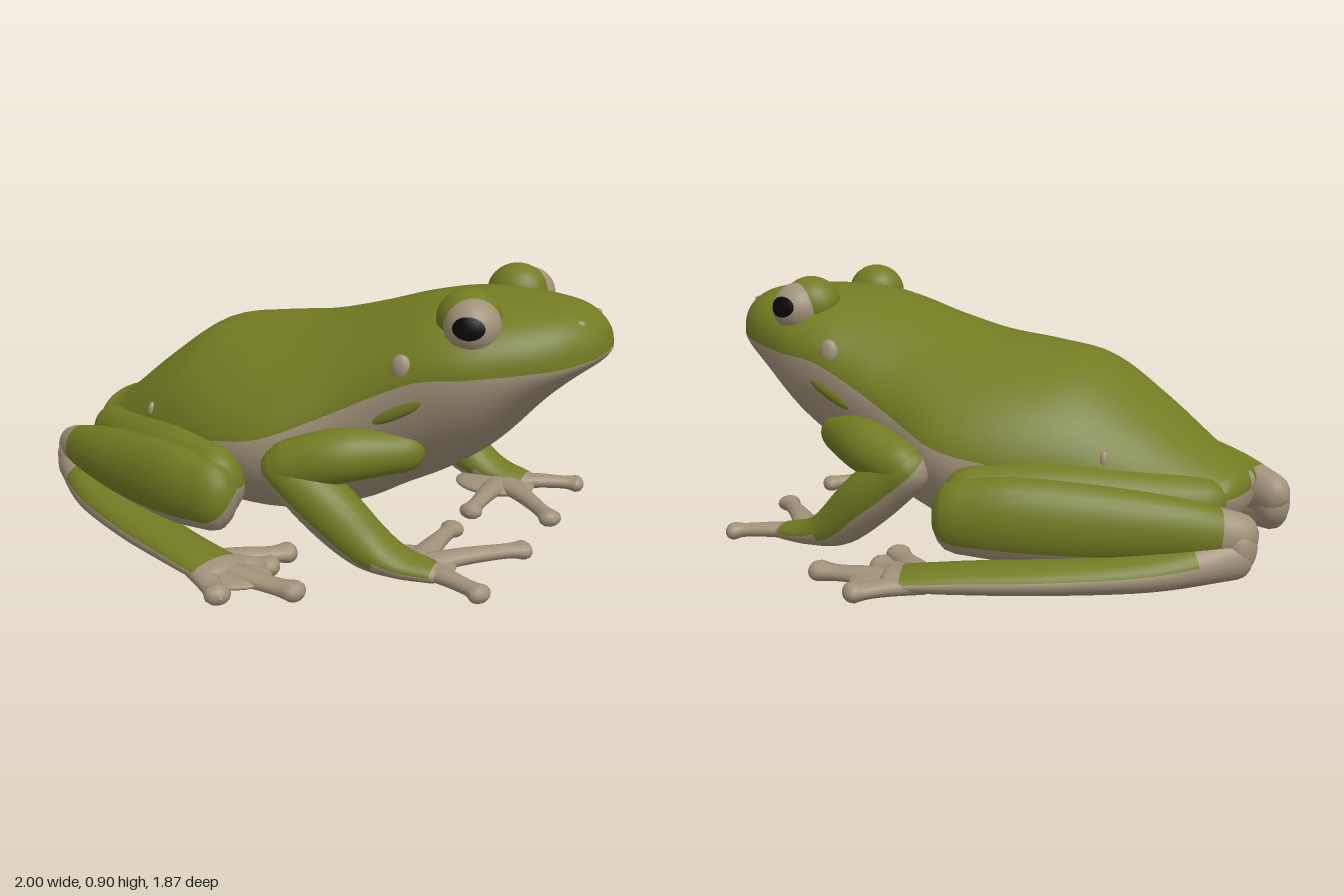
import * as THREE from 'three';

const mat = (name, color) => Object.assign(new THREE.MeshStandardMaterial({ color }), { name });

export function createModel() {
  const green = mat('skinGreen', 0x727b22);
  const cream = mat('bellyCream', 0xa09179);
  const black = mat('pupilBlack', 0x080808);
  const frog = new THREE.Group();
  frog.name = 'treeFrog';

  const add = (name, geo, material, parent = frog) => {
    const m = new THREE.Mesh(geo, material);
    m.name = name;
    parent.add(m);
    return m;
  };

  // Skin closed rings of points; isGreen(ring, sector) picks the colour of each quad
  const loft = (name, rings, isGreen, parent) => {
    const n = rings[0].length;
    const lists = [[], []];
    for (let i = 0; i < rings.length - 1; i++) {
      for (let j = 0; j < n; j++) {
        const k = (j + 1) % n;
        const a = i * n + j, b = i * n + k, c = a + n, d = b + n;
        lists[isGreen(i, j) ? 0 : 1].push(a, c, d, a, d, b);
      }
    }
    const geo = new THREE.BufferGeometry().setFromPoints(rings.flat());
    geo.setIndex([...lists[0], ...lists[1]]);
    geo.addGroup(0, lists[0].length, 0);
    geo.addGroup(lists[0].length, lists[1].length, 1);
    geo.computeVertexNormals();
    return add(name, geo, [green, cream], parent);
  };

  // Smooth sampling of rows of numbers, row index as parameter
  const smooth = (rows) => {
    const size = rows[0].length;
    const it = new THREE.CubicInterpolant(rows.map((_, i) => i), rows.flat(), size, new Array(size));
    return (t) => Array.from(it.evaluate(t));
  };

  // Limb through stations [x, y, z, sideRadius, upRadius] with rounded ends;
  // isGreen(station, up, out) gets how far the skin faces up and sideways
  const limb = (name, rows, s, isGreen, parent, sides = 28, steps = 6) => {
    const at = smooth(rows.map(([x, y, z, a, b]) => [x, y, z * s, a, b]));
    const last = rows.length - 1, stations = [];
    const caps = [0.05, 0.4, 0.7, 0.9];
    for (const c of caps) stations.push([0, c, -1]);
    for (let i = 0; i <= last * steps; i++) stations.push([i / steps, 1, 0]);
    for (const c of [...caps].reverse()) stations.push([last, c, 1]);
    const rings = stations.map(([t, scale, end]) => {
      const [x, y, z, ra, rb] = at(t);
      const p0 = at(Math.max(0, t - 0.05)), p1 = at(Math.min(last, t + 0.05));
      const dir = new THREE.Vector3(p1[0] - p0[0], p1[1] - p0[1], p1[2] - p0[2]).normalize();
      const side = new THREE.Vector3().crossVectors(dir, new THREE.Vector3(0, 1, 0)).normalize();
      const up = new THREE.Vector3().crossVectors(side, dir);
      const mid = new THREE.Vector3(x, y, z)
        .addScaledVector(dir, end * Math.min(ra, rb) * Math.sqrt(1 - scale * scale));
      return Array.from({ length: sides }, (_, j) => {
        const a = (j / sides) * Math.PI * 2;
        return mid.clone().addScaledVector(side, Math.cos(a) * ra * scale)
          .addScaledVector(up, Math.sin(a) * rb * scale);
      });
    });
    return loft(name, rings, (i, j) => {
      const a = ((j + 0.5) / sides) * Math.PI * 2;
      return isGreen(stations[i][0], Math.sin(a), Math.cos(a) * s);
    }, parent);
  };

  const ball = (name, m, [x, y, z], [a, b, c], parent) => {
    const mesh = add(name, new THREE.SphereGeometry(1, 28, 18), m, parent);
    mesh.position.set(x, y, z);
    mesh.scale.set(a, b, c);
    return mesh;
  };

  // Body and head: [x, top, widest height, bottom, half width, back fullness, colour edge angle]
  const body = smooth([
    [-0.925, 0.27, 0.26, 0.25, 0.004, 2, 0], [-0.915, 0.3, 0.255, 0.2, 0.09, 2, 0],
    [-0.88, 0.335, 0.25, 0.15, 0.17, 2, 0], [-0.8, 0.37, 0.24, 0.11, 0.22, 2, 0],
    [-0.6, 0.53, 0.27, 0.06, 0.34, 1.9, 0], [-0.4, 0.665, 0.31, 0.03, 0.43, 1.85, 0.03],
    [-0.2, 0.705, 0.34, 0.03, 0.5, 1.8, 0.1], [0, 0.73, 0.37, 0.04, 0.52, 1.8, 0.13],
    [0.2, 0.78, 0.455, 0.09, 0.455, 1.9, 0.13], [0.35, 0.825, 0.54, 0.17, 0.425, 2, 0.1],
    [0.5, 0.855, 0.625, 0.25, 0.41, 2.1, 0.04], [0.65, 0.86, 0.655, 0.36, 0.38, 2.2, 0],
    [0.8, 0.853, 0.67, 0.52, 0.3, 2.3, 0], [0.9, 0.835, 0.68, 0.61, 0.22, 2.3, 0],
    [0.97, 0.79, 0.695, 0.665, 0.125, 2.3, 0], [0.993, 0.745, 0.705, 0.69, 0.06, 2.2, 0],
    [1, 0.715, 0.71, 0.705, 0.003, 2, 0],
  ]);
  const N = 64, S = 5;
  const bodyRings = Array.from({ length: 16 * S + 1 }, (_, i) => {
    const [x, top, mid, bottom, w, full, edge] = body(i / S);
    return Array.from({ length: N }, (_, j) => {
      const f = (2 * j) / N; // first half runs over the back, second under the belly
      const a = f < 1 ? edge + f * (Math.PI - 2 * edge)
        : Math.PI - edge + (f - 1) * (Math.PI + 2 * edge);
      const c = Math.cos(a), s = Math.sin(a), e = s > 0 ? 2 / full : 1;
      const pow = (v) => Math.sign(v) * Math.abs(v) ** e;
      return new THREE.Vector3(x, mid + pow(s) * (s > 0 ? top - mid : mid - bottom), w * pow(c));
    });
  });
  loft('body', bodyRings, (i, j) => j < N / 2);
  ball('vent', cream, [-0.905, 0.27, 0], [0.025, 0.04, 0.035]);

  for (const s of [1, -1]) {
    const sideName = s > 0 ? 'Near' : 'Far';
    const part = (name) => {
      const g = new THREE.Group();
      g.name = name + sideName;
      frog.add(g);
      return g;
    };

    // Eye with lid bulge and oval pupil
    const eye = part('eye');
    ball('eyelid', green, [0.61, 0.813, 0.235 * s], [0.105, 0.097, 0.095], eye);
    ball('eyeball', cream, [0.637, 0.801, 0.278 * s], [0.09, 0.09, 0.09], eye);
    const cap = new THREE.SphereGeometry(1, 28, 8, 0, Math.PI * 2, 0, 0.58);
    cap.rotateX(s * Math.PI / 2);
    const p = cap.attributes.position, v = new THREE.Vector3();
    for (let i = 0; i < p.count; i++) {
      v.fromBufferAttribute(p, i);
      v.y *= 0.65;
      v.setLength(0.0925);
      p.setXYZ(i, v.x, v.y, v.z);
    }
    cap.computeVertexNormals();
    const pupil = add('pupil', cap, black, eye);
    pupil.position.set(0.637, 0.801, 0.278 * s);
    pupil.rotation.set(-0.14 * s, 0.2 * s, 0);

    // Small face and flank details
    ball('eardrum' + sideName, cream, [0.45, 0.672, 0.39 * s], [0.034, 0.045, 0.022]);
    ball('nostril' + sideName, cream, [0.925, 0.8, 0.1 * s], [0.014, 0.012, 0.014]);
    ball('shoulderPatch' + sideName, green, [0.44, 0.535, 0.4 * s], [0.11, 0.026, 0.017]).rotation.set(0, 0.1 * s, 0.48);
    ball('hipBump' + sideName, cream, [-0.52, 0.385, 0.345 * s], [0.014, 0.03, 0.016]);

    // Front leg
    const arm = part('frontLeg');
    limb('upperArm', [
      [0.44, 0.385, 0.34, 0.07, 0.07], [0.28, 0.38, 0.455, 0.088, 0.09], [0.12, 0.335, 0.505, 0.082, 0.088],
    ], s, (t, up) => up > -0.8, arm);
    limb('forearm', [
      [0.1, 0.325, 0.505, 0.082, 0.08], [0.24, 0.22, 0.495, 0.092, 0.095], [0.37, 0.11, 0.475, 0.088, 0.08],
      [0.48, 0.062, 0.465, 0.08, 0.047], [0.6, 0.045, 0.455, 0.055, 0.03],
    ], s, (t, up) => up > (t > 2.4 ? 0.1 : -0.4) && t < 3.9, arm);
    ball('palm', cream, [0.5, 0.036, 0.4 * s], [0.15, 0.028, 0.12], arm);
    for (const [x, z] of [[0.775, 0.52], [0.79, 0.15], [0.52, 0.09]]) {
      const mix = (k, y, r, h) => [0.52 + (x - 0.52) * k, y, 0.42 + (z - 0.42) * k, r, h];
      limb('finger', [
        mix(0.1, 0.04, 0.055, 0.028), mix(0.5, 0.045, 0.036, 0.026),
        mix(0.85, 0.042, 0.029, 0.024), mix(1, 0.038, 0.042, 0.03),
      ], s, () => false, arm, 12, 4);
    }

    // Hind leg folded thigh, shank and foot
    const leg = part('hindLeg');
    limb('thigh', [
      [-0.8, 0.235, 0.19, 0.08, 0.085], [-0.58, 0.235, 0.31, 0.11, 0.12],
      [-0.35, 0.245, 0.435, 0.115, 0.135], [-0.14, 0.245, 0.535, 0.095, 0.125],
    ], s, (t, up) => up > 0.1, leg);
    limb('shank', [
      [-0.935, 0.165, 0.26, 0.065, 0.075], [-0.75, 0.19, 0.36, 0.08, 0.105],
      [-0.5, 0.205, 0.465, 0.09, 0.13], [-0.28, 0.22, 0.55, 0.09, 0.135],
      [-0.12, 0.22, 0.59, 0.08, 0.12],
    ], s, (t, up, out) => t > 0.25 && up > -0.2 - 0.65 * out, leg);
    ball('heel', cream, [-0.935, 0.13, 0.27 * s], [0.064, 0.085, 0.066], leg);
    limb('foot', [
      [-0.93, 0.1, 0.285, 0.06, 0.07], [-0.7, 0.072, 0.44, 0.085, 0.06],
      [-0.42, 0.062, 0.58, 0.095, 0.052], [-0.18, 0.06, 0.69, 0.09, 0.045], [0.02, 0.055, 0.765, 0.095, 0.032],
    ], s, (t, up) => t > 0.35 && t < 3.7 && up > 0.15, leg);
    ball('webbing', cream, [0.03, 0.045, 0.745 * s], [0.14, 0.022, 0.115], leg);
    for (const [x, z] of [[0.08, 0.895], [0.275, 0.77], [0.12, 0.645], [0.12, 0.53]]) {
      const mix = (k, y, r, h) => [-0.1 + (x + 0.1) * k, y, 0.74 + (z - 0.74) * k, r, h];
      limb('toe', [
        mix(0.1, 0.05, 0.055, 0.032), mix(0.5, 0.05, 0.045, 0.028),
        mix(0.82, 0.045, 0.036, 0.025), mix(1, 0.045, 0.043, 0.033),
      ], s, () => false, leg, 12, 4);
    }
  }
  return frog;
}
